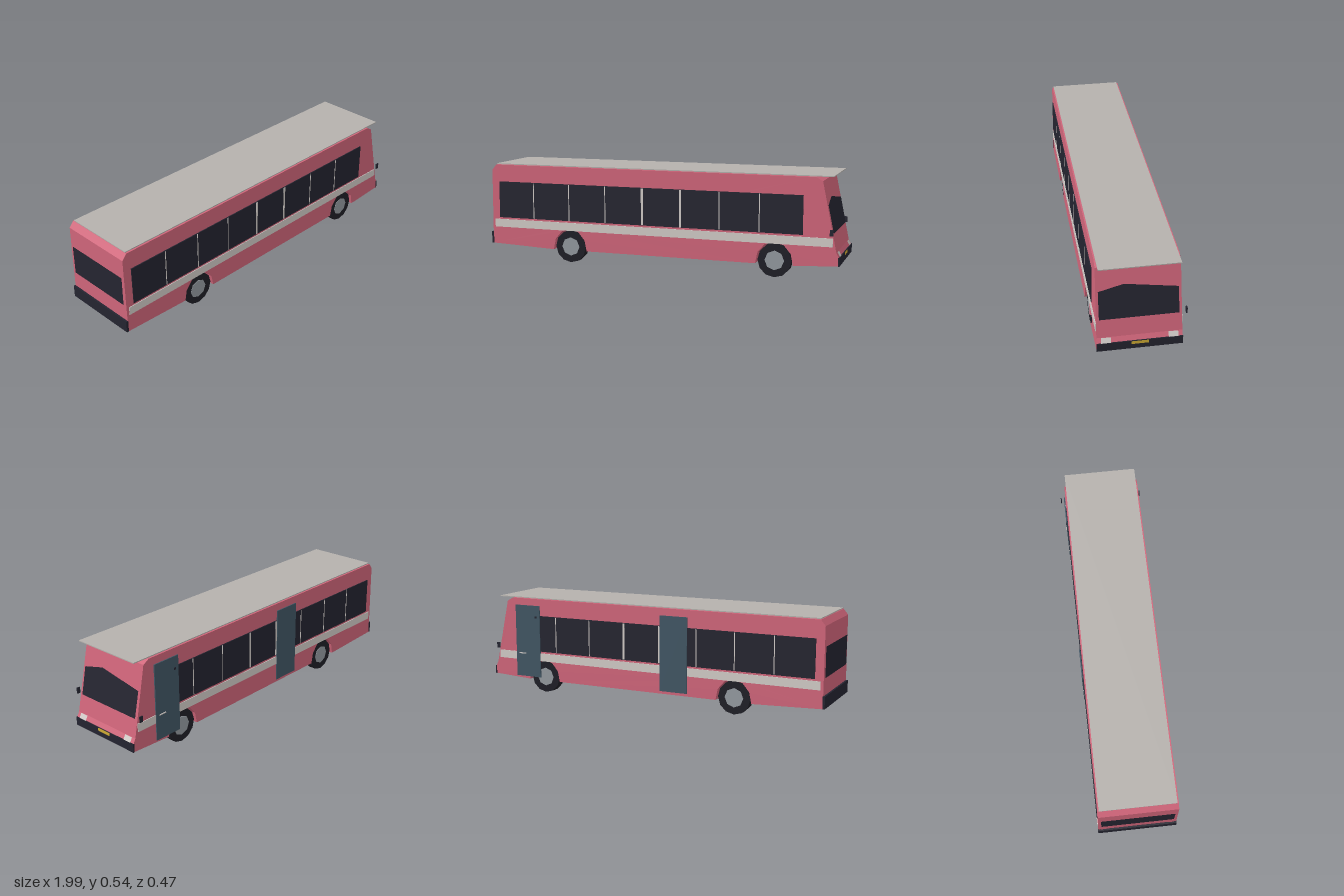
import * as THREE from 'three';

const mat = (name, color, extra = {}) => {
  const m = new THREE.MeshStandardMaterial({ color, ...extra });
  m.name = name;
  return m;
};

export function createModel() {
  const bus = new THREE.Group();
  bus.name = 'bus';
  const paint = mat('pinkPaint', 0xd0657a);
  const dark = mat('darkGlass', 0x242430);
  const tyreMat = mat('tyreRubber', 0x1e1e26, { flatShading: true });
  const light = mat('paleTrim', 0xd2ccc8);
  const roofMat = mat('roofGrey', 0xb5b1ad);
  const hubMat = mat('hubGrey', 0x949aa0);
  const doorMat = mat('doorBlue', 0x415664);
  const yellow = mat('plateYellow', 0xd0ac34);

  const add = (name, geometry, material, parent = bus) => {
    const mesh = new THREE.Mesh(geometry, material);
    mesh.name = name;
    parent.add(mesh);
    return mesh;
  };
  // Box given by its limits on each axis
  const box = (name, material, x0, x1, y0, y1, z0, z1) => {
    const g = new THREE.BoxGeometry(x1 - x0, y1 - y0, z1 - z0);
    g.translate((x0 + x1) / 2, (y0 + y1) / 2, (z0 + z1) / 2);
    return add(name, g, material);
  };

  // Body: side profile with wheel arches, extruded across and narrowed upward
  const axles = [-0.51, 0.65];
  const arch = [[-0.1, 0.07], [-0.088, 0.13], [-0.05, 0.175], [0, 0.186], [0.05, 0.175], [0.088, 0.13], [0.1, 0.07]];
  const profile = [[-0.99, 0.085]];
  for (const ax of axles) for (const [x, y] of arch) profile.push([ax + x, y]);
  profile.push([0.985, 0.083], [0.985, 0.128], [0.972, 0.152], [0.895, 0.515], [0.86, 0.535], [-0.965, 0.535], [-0.99, 0.505]);
  const bodyGeo = new THREE.ExtrudeGeometry(
    new THREE.Shape(profile.map(([x, y]) => new THREE.Vector2(x, y))),
    { depth: 2, bevelEnabled: false });
  bodyGeo.translate(0, 0, -1);
  const p = bodyGeo.attributes.position;
  for (let i = 0; i < p.count; i++) {
    const t = Math.max(0, (p.getY(i) - 0.1) / 0.435);
    p.setZ(i, p.getZ(i) * (0.211 - 0.006 * t));
  }
  bodyGeo.computeVertexNormals();
  add('body', bodyGeo, paint);

  // Roof sheet, overhanging the windscreen
  box('roofSheet', roofMat, -0.965, 0.95, 0.537, 0.542, -0.198, 0.198);

  // Side glass, dividers and stripe on both sides
  for (const s of [1, -1]) {
    const side = s > 0 ? 'left' : 'right';
    const plate = (name, m, x0, x1, y0, y1, out) =>
      box(side + name, m, x0, x1, y0, y1, s > 0 ? 0.205 : -out, s > 0 ? out : -0.205);
    plate('Windows', dark, -0.945, 0.798, 0.235, 0.44, 0.2115);
    plate('Stripe', light, -0.975, 0.953, 0.18, 0.225, 0.2125);
    for (let i = 0; i < 7; i++) {
      const x = -0.73 + i * 0.2165;
      const w = i === 3 || i === 4 ? 0.006 : 0.0025;
      plate('WindowDivider', light, x - w, x + w, 0.237, 0.438, 0.2125);
    }
    // Wing mirror
    const z = s * 0.232;
    box(side + 'Mirror', dark, 0.94, 0.958, 0.24, 0.272, z - 0.003, z + 0.003);
  }

  // Doors on the right side, with handles and locks
  for (const [name, x0, x1] of [['frontDoor', 0.675, 0.835], ['middleDoor', -0.245, -0.085]]) {
    box(name, doorMat, x0, x1, 0.085, 0.497, -0.2155, -0.2095);
  }
  box('doorHandle', light, 0.77, 0.815, 0.216, 0.222, -0.218, -0.2155);
  box('doorLock', dark, 0.695, 0.707, 0.425, 0.437, -0.217, -0.2155);

  // Panels that follow the sloping nose or the flat tail; points are [z, y]
  const noseX = y => y > 0.152 ? 0.972 - (y - 0.152) * 0.077 / 0.363
    : y > 0.128 ? 0.985 - (y - 0.128) * 0.013 / 0.024 : 0.985;
  const panel = (name, material, points, front, out = 0.003) => {
    const shape = new THREE.Shape(points.map(([z, y]) => new THREE.Vector2(front ? -z : z, y)));
    const g = new THREE.ShapeGeometry(shape);
    const a = g.attributes.position;
    for (let i = 0; i < a.count; i++) {
      const u = a.getX(i), y = a.getY(i);
      a.setXYZ(i, front ? noseX(y) + out : -0.99 - out, y, front ? -u : u);
    }
    g.computeVertexNormals();
    return add(name, g, material);
  };
  const rect = (z0, z1, y0, y1) => [[z0, y0], [z1, y0], [z1, y1], [z0, y1]];

  // Nose
  panel('windscreen', dark, [[-0.195, 0.247], [0.195, 0.247], [0.195, 0.393], [0.07, 0.423], [-0.195, 0.385]], true);
  for (const s of [1, -1]) panel('headlight', light, rect(s * 0.141, s * 0.189, 0.128, 0.152), true);
  box('frontBumper', dark, 0.982, 0.99, 0.082, 0.128, -0.212, 0.212);
  panel('numberPlate', yellow, rect(-0.042, 0.042, 0.11, 0.1275), true, 0.007);

  // Tail
  panel('rearWindow', dark, rect(-0.192, 0.192, 0.24, 0.4), false);
  box('rearBumper', dark, -1, -0.988, 0.085, 0.15, -0.212, 0.212);
  for (const s of [1, -1]) panel('rearLamp', paint, rect(s * 0.165, s * 0.195, 0.16, 0.185), false);

  // Wheels: faceted tyres with octagonal hubs
  for (const x of axles) for (const s of [1, -1]) {
    const wheel = new THREE.Group();
    wheel.name = 'wheel';
    wheel.position.set(x, 0.09, s * 0.176);
    const tyre = new THREE.CylinderGeometry(0.09, 0.09, 0.048, 12);
    const hub = new THREE.CylinderGeometry(0.052, 0.052, 0.052, 8);
    for (const g of [tyre, hub]) g.rotateX(Math.PI / 2);
    add('tyre', tyre, tyreMat, wheel);
    add('hub', hub, hubMat, wheel);
    bus.add(wheel);
  }
  return bus;
}
